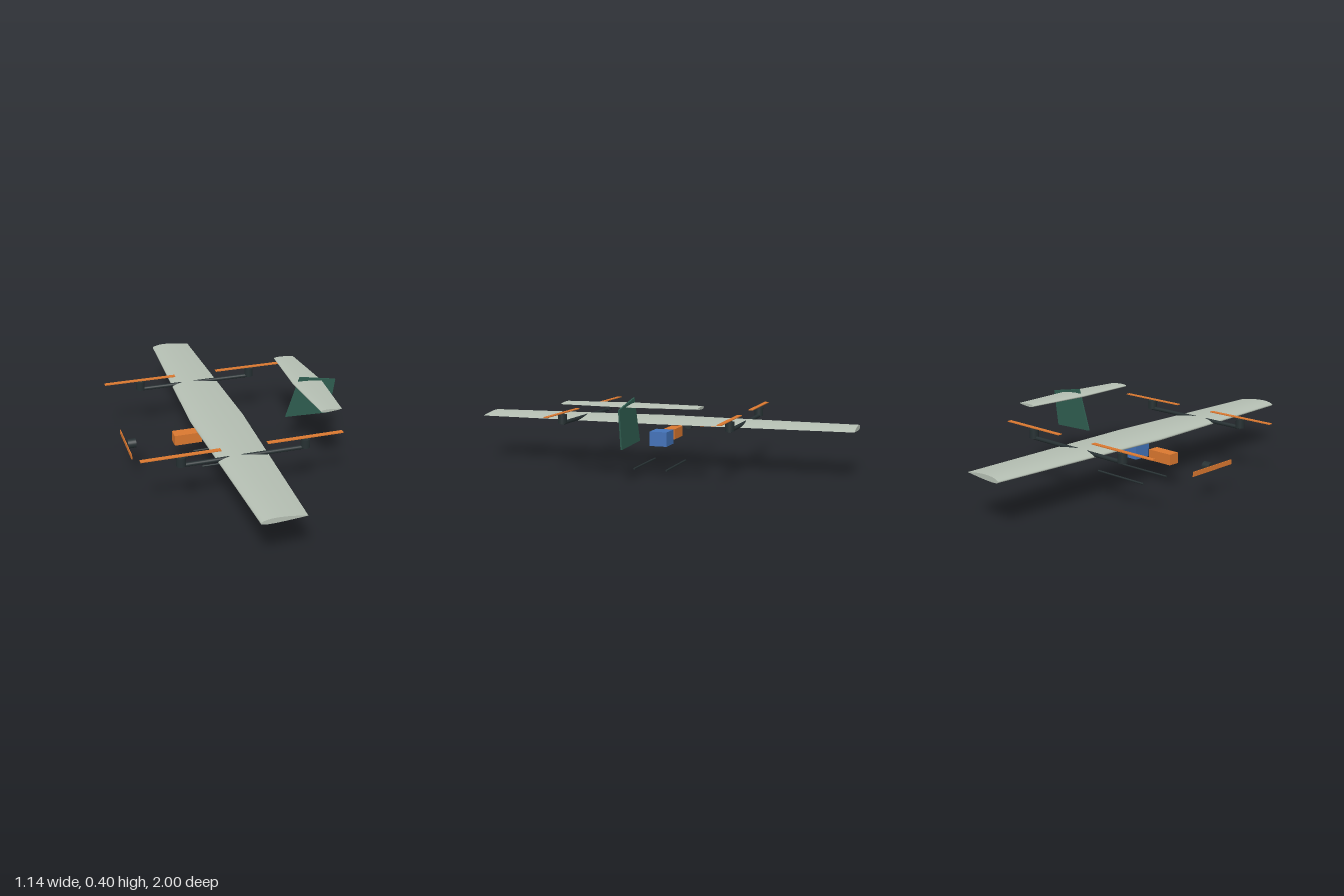
import * as THREE from 'three';

const material = (color) => new THREE.MeshStandardMaterial({ color });

// Airfoil outline: trailing edge, over the top to the nose, back along the bottom
function airfoil(lead, trail, y, thickness, camber, n) {
  const c = trail - lead, pts = [];
  for (let i = 0; i <= 2 * n; i++) {
    const u = 0.5 * (1 + Math.cos((Math.PI * i) / n));
    const half = 5 * thickness * (0.2969 * Math.sqrt(u) - 0.126 * u - 0.3516 * u ** 2 + 0.2843 * u ** 3 - 0.1036 * u ** 4);
    const p = 0.4;
    const mid = u < p ? (camber / p ** 2) * (2 * p * u - u * u)
      : (camber / (1 - p) ** 2) * (1 - 2 * p + 2 * p * u - u * u);
    pts.push([lead + c * u, y + c * (mid + (i <= n ? half : -half))]);
  }
  return pts;
}

// Straight-tapered surface from tip to tip, with closed ends
function wingGeometry(root, tip, span, y, thickness, camber) {
  const n = 20, m = 2 * n, pos = [], idx = [];
  const addSection = (ends, z) => {
    const start = pos.length / 3;
    for (const [px, py] of airfoil(...ends, y, thickness, camber, n)) pos.push(px, py, z);
    return start;
  };
  const rows = [addSection(tip, -span), addSection(root, 0), addSection(tip, span)];
  for (let s = 0; s < 2; s++) {
    for (let i = 0; i < m; i++) {
      const a = rows[s] + i, b = rows[s + 1] + i;
      idx.push(a, a + 1, b, a + 1, b + 1, b);
    }
  }
  for (const side of [-1, 1]) {
    const o = addSection(tip, side * span);
    for (let i = 0; i < n; i++) {
      const q = [o + i, o + i + 1, o + m - 1 - i, o + m - i];
      if (side < 0) q.reverse();
      idx.push(q[0], q[1], q[2], q[0], q[2], q[3]);
    }
  }
  const g = new THREE.BufferGeometry();
  g.setAttribute('position', new THREE.Float32BufferAttribute(pos, 3));
  g.setIndex(idx);
  g.computeVertexNormals();
  return g;
}

export function createModel() {
  const model = new THREE.Group();
  model.name = 'fixedWingDrone';
  const pale = material(0xb4beb2), dark = material(0x263032), orange = material(0xd9772f);
  const blue = material(0x4272b8), green = material(0x2f5d50);

  const add = (name, geometry, mat, x = 0, y = 0, z = 0) => {
    const mesh = new THREE.Mesh(geometry, mat);
    mesh.name = name;
    mesh.position.set(x, y, z);
    model.add(mesh);
    return mesh;
  };
  const rodX = (r, length) => new THREE.CylinderGeometry(r, r, length, 24).rotateZ(Math.PI / 2);

  // Main wing with its spar
  add('wing', wingGeometry([-0.22, 0.062], [-0.181, 0.034], 1, 0.227, 0.12, 0.02), pale);
  add('wingSpar', new THREE.CylinderGeometry(0.008, 0.008, 2, 20).rotateX(Math.PI / 2), pale, -0.128, 0.231, 0);

  // Tailplane and swept fin
  add('tailplane', wingGeometry([0.334, 0.493], [0.352, 0.463], 0.342, 0.361, 0.13, 0), pale);
  const finShape = new THREE.Shape([[0.298, 0.177], [0.541, 0.168], [0.57, 0.358], [0.371, 0.395]]
    .map(([x, y]) => new THREE.Vector2(x, y)));
  add('fin', new THREE.ExtrudeGeometry(finShape, { depth: 0.008, bevelEnabled: false }), green, 0, 0, -0.004);

  // Booms with a lift motor and rotor at each end, and landing skids
  for (const side of [-1, 1]) {
    const z = side * 0.437;
    add('boom', rodX(0.01, 0.618), dark, -0.0715, 0.236, z);
    for (const x of [-0.38, 0.237]) {
      add('liftMotor', new THREE.CylinderGeometry(0.023, 0.023, 0.046, 24), dark, x, 0.258, z);
      add('liftRotor', new THREE.BoxGeometry(0.386, 0.004, 0.024), orange, x, 0.288, z);
    }
    add('skid', rodX(0.005, 0.324), dark, -0.021, 0.005, side * 0.086);
  }

  // Nose motor and propeller
  add('noseMotor', rodX(0.024, 0.042), dark, -0.526, 0.15, 0);
  add('nosePropeller', new THREE.BoxGeometry(0.004, 0.024, 0.288), orange, -0.555, 0.15, 0);

  // Battery and payload boxes
  add('battery', new THREE.BoxGeometry(0.142, 0.055, 0.06), orange, -0.238, 0.144, 0);
  add('payloadBox', new THREE.BoxGeometry(0.113, 0.075, 0.094), blue, -0.0385, 0.143, 0);

  return model;
}
